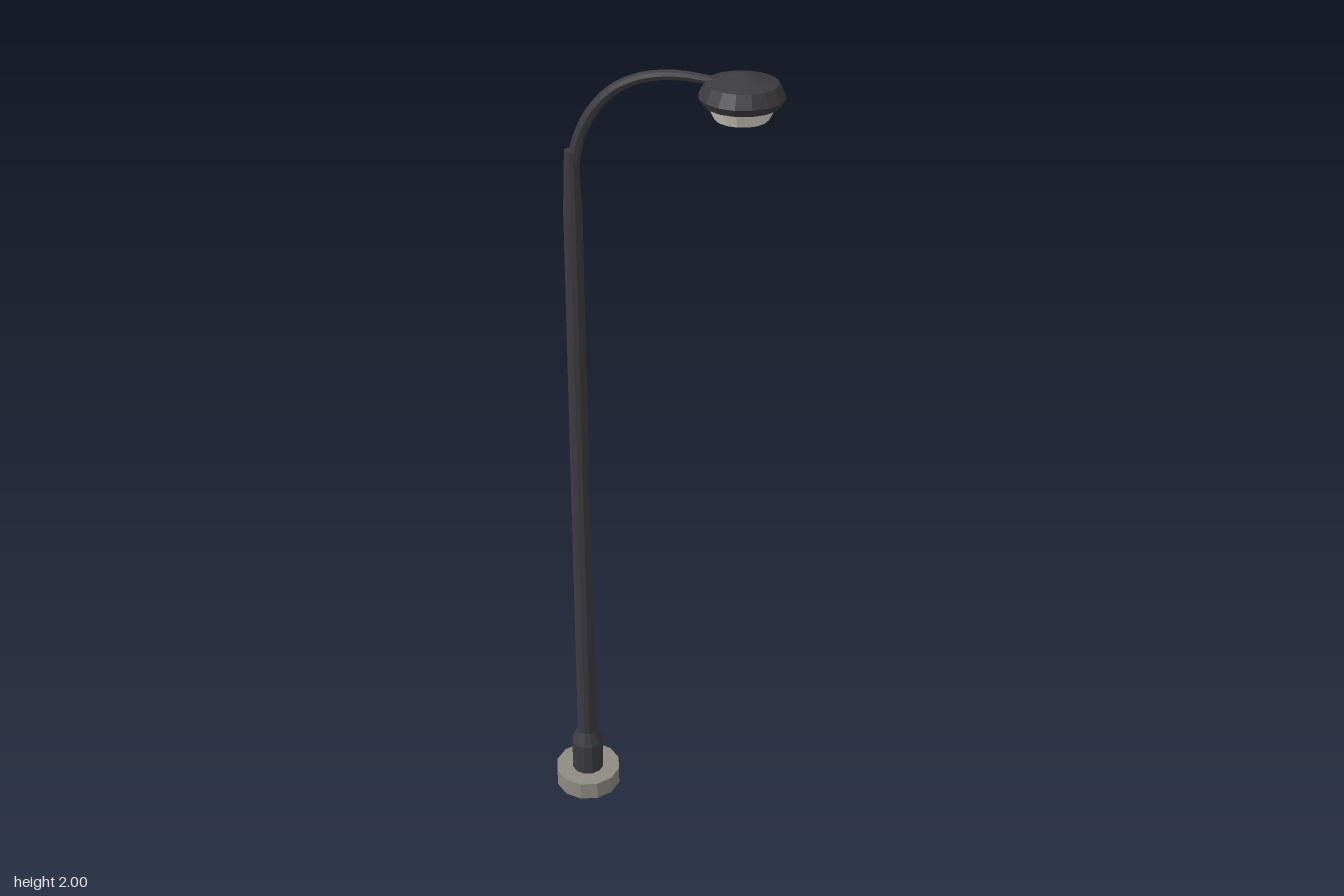
import * as THREE from 'three';

const POLE_X = -0.19;
const LAMP_X = 0.182;

export function createModel() {
  const group = new THREE.Group();
  group.name = 'streetLamp';

  const material = (name, color) => {
    const m = new THREE.MeshStandardMaterial({ color, flatShading: true });
    m.name = name;
    return m;
  };
  const darkMetal = material('darkMetal', 0x3b3b40);
  const concrete = material('concrete', 0x8e8b82);
  const paleGlass = material('paleGlass', 0xe2dfd2);

  // Turned part from [radius, height] pairs, bottom to top
  const addTurned = (name, x, sides, mat, profile) => {
    const points = profile.map(([r, y]) => new THREE.Vector2(r, y));
    const mesh = new THREE.Mesh(new THREE.LatheGeometry(points, sides), mat);
    mesh.name = name;
    mesh.position.x = x;
    group.add(mesh);
  };

  // Footing, collar and pole
  addTurned('footing', POLE_X, 12, concrete, [[0, 0], [0.086, 0], [0.086, 0.05], [0, 0.05]]);
  addTurned('collar', POLE_X, 12, darkMetal, [[0, 0.04], [0.042, 0.04], [0.042, 0.14], [0.026, 0.175], [0, 0.175]]);
  addTurned('pole', POLE_X, 12, darkMetal, [[0, 0.1], [0.026, 0.1], [0.022, 1.66], [0.016, 1.8], [0, 1.8]]);

  // Curved arm, thinning towards the lamp
  const path = new THREE.CatmullRomCurve3([
    [-0.19, 1.74], [-0.178, 1.81], [-0.152, 1.875], [-0.1, 1.938],
    [-0.035, 1.972], [0.04, 1.983], [0.11, 1.977], [0.165, 1.965],
  ].map(([x, y]) => new THREE.Vector3(x, y, 0)));
  const rings = 20, sides = 8;
  const armGeometry = new THREE.TubeGeometry(path, rings, 0.015, sides);
  const position = armGeometry.attributes.position;
  const vertex = new THREE.Vector3();
  for (let i = 0; i <= rings; i++) {
    const centre = path.getPointAt(i / rings);
    const scale = 1 - 0.33 * (i / rings);
    for (let j = 0; j <= sides; j++) {
      const k = i * (sides + 1) + j;
      vertex.fromBufferAttribute(position, k).sub(centre).multiplyScalar(scale).add(centre);
      position.setXYZ(k, vertex.x, vertex.y, vertex.z);
    }
  }
  armGeometry.computeVertexNormals();
  const arm = new THREE.Mesh(armGeometry, darkMetal);
  arm.name = 'arm';
  group.add(arm);

  // Lamp hood and lens
  addTurned('lampHood', LAMP_X, 16, darkMetal, [[0, 1.932], [0.084, 1.932], [0.093, 1.948], [0.078, 1.977], [0, 2]]);
  addTurned('lens', LAMP_X, 16, paleGlass, [[0, 1.9], [0.058, 1.9], [0.076, 1.934], [0, 1.934]]);

  return group;
}
